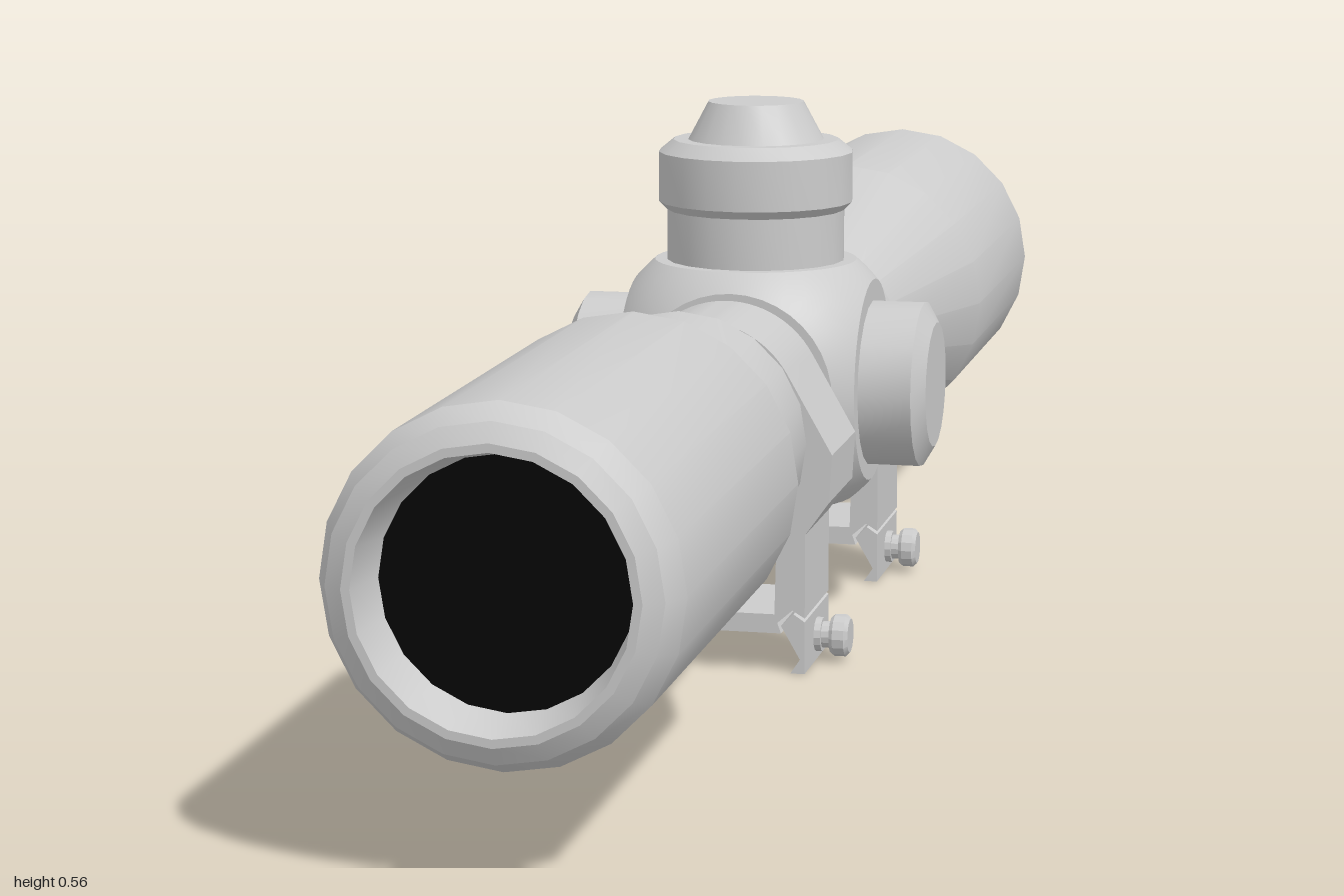
import * as THREE from 'three';
import { toCreasedNormals } from 'three/addons/utils/BufferGeometryUtils.js';

const AXIS_Y = 0.265; // height of the optical axis
const BODY_Z = -0.06; // centre of the turret body
const SIDES = 20;

const grey = new THREE.MeshStandardMaterial({ color: 0xcccccc, side: THREE.DoubleSide });
const black = new THREE.MeshStandardMaterial({ color: 0x050505 });

function mesh(name, geometry, material = grey) {
  const m = new THREE.Mesh(geometry, material);
  m.name = name;
  return m;
}

// Turned part from [radius, height] pairs, bottom to top
function turned(profile, sides = SIDES) {
  const pts = profile.map(([r, h]) => new THREE.Vector2(r, h));
  return toCreasedNormals(new THREE.LatheGeometry(pts, sides), 0.34);
}

// Turned part lying along z on the optical axis
function alongAxis(name, profile) {
  const m = mesh(name, turned(profile).rotateX(Math.PI / 2));
  m.position.y = AXIS_Y;
  return m;
}

function lens(name, radius, z, facing) {
  const geo = new THREE.CircleGeometry(radius, SIDES).rotateZ(Math.PI / 2);
  if (facing < 0) geo.rotateY(Math.PI);
  const m = mesh(name, geo, black);
  m.position.set(0, AXIS_Y, z);
  return m;
}

// Sphere cut flat on six sides: per side a disc and a spherical collar
function createTurretBody() {
  const group = new THREE.Group();
  group.name = 'turretBody';
  const half = 0.13, flat = 0.11, radius = Math.hypot(half, flat);
  const collar = new THREE.RingGeometry(flat, 2 * flat, 40, 5);
  const pos = collar.attributes.position, normal = collar.attributes.normal;
  const p = new THREE.Vector3();
  for (let i = 0; i < pos.count; i++) {
    p.fromBufferAttribute(pos, i);
    const t = p.length() / flat - 1;
    p.normalize();
    const square = half / Math.max(Math.abs(p.x), Math.abs(p.y));
    p.multiplyScalar(THREE.MathUtils.lerp(flat, square, t)).setZ(half).normalize();
    normal.setXYZ(i, p.x, p.y, p.z);
    pos.setXYZ(i, p.x * radius, p.y * radius, p.z * radius);
  }
  const disc = new THREE.CircleGeometry(flat, 40).translate(0, 0, half);
  for (let i = 0; i < 6; i++) {
    const side = new THREE.Group();
    side.name = 'bodySide';
    side.add(mesh('bodyCollar', collar), mesh('bodyFlat', disc));
    if (i < 4) side.rotation.y = i * Math.PI / 2;
    else side.rotation.x = (i === 4 ? 1 : -1) * Math.PI / 2;
    group.add(side);
  }
  group.position.set(0, AXIS_Y, BODY_Z);
  return group;
}

// Extrude an outline along z, centred on z = 0
function slab(shape, depth) {
  const geo = new THREE.ExtrudeGeometry(shape, { depth, bevelEnabled: false, curveSegments: 14 });
  return toCreasedNormals(geo.translate(0, 0, -depth / 2), 0.34);
}

const outline = pts => new THREE.Shape(pts.map(([x, y]) => new THREE.Vector2(x, y)));

function createMount(name, z) {
  const group = new THREE.Group();
  group.name = name;
  const depth = 0.13;

  // Ring, legs and crossbar in one outline
  const shape = outline([
    [-0.11, 0.003], [-0.093, 0.003], [-0.104, 0.018], [-0.08, 0.045], [0.085, 0.045],
    [0.081, 0.056], [0.097, 0.07], [0.11, 0.062], [0.11, 0.15], [0.135, 0.185], [0.138, 0.235],
  ]);
  shape.absarc(0, AXIS_Y, 0.105, Math.PI / 6, Math.PI * 5 / 6, false);
  [[-0.138, 0.235], [-0.135, 0.185], [-0.11, 0.15]].forEach(([x, y]) => shape.lineTo(x, y));

  // Window between the legs, and the bore for the tube
  const win = new THREE.Path();
  win.moveTo(-0.08, 0.065);
  win.lineTo(0.078, 0.065);
  win.lineTo(0.08, 0.14);
  win.absarc(0, AXIS_Y, 0.108, -Math.PI * 0.28, -Math.PI * 0.72, true);
  win.lineTo(-0.08, 0.14);
  const bore = new THREE.Path();
  bore.absarc(0, AXIS_Y, 0.088, 0, Math.PI * 2, true);
  shape.holes.push(win, bore);
  group.add(mesh('mountRing', slab(shape, depth)));

  // Loose clamp jaw with its screw
  const jaw = outline([
    [0.11, 0.003], [0.11, 0.058], [0.098, 0.066], [0.085, 0.053], [0.105, 0.018], [0.095, 0.003],
  ]);
  group.add(mesh('clampJaw', slab(jaw, depth)));
  const screw = mesh('clampScrew', turned([
    [0, 0.105], [0.018, 0.105], [0.018, 0.117], [0.014, 0.117], [0.014, 0.126],
    [0.019, 0.126], [0.022, 0.13], [0.022, 0.142], [0.018, 0.146], [0, 0.146],
  ], 14).rotateZ(-Math.PI / 2));
  screw.position.y = 0.03;
  group.add(screw);

  group.position.z = z;
  return group;
}

export function createModel() {
  const model = new THREE.Group();
  model.name = 'telescopicSight';

  // Tube sections
  model.add(
    alongAxis('objectiveBell', [
      [0.12, -0.95], [0.145, -1], [0.166, -1], [0.166, -0.6], [0.095, -0.4], [0.09, -0.35],
    ]),
    alongAxis('mainTube', [[0.09, -0.36], [0.09, 0.26]]),
    alongAxis('eyepiece', [
      [0.09, 0.245], [0.105, 0.28], [0.12, 0.285], [0.13, 0.31], [0.132, 0.43], [0.14, 0.43],
      [0.16, 0.5], [0.16, 0.965], [0.147, 0.99], [0.13, 1], [0.122, 1], [0.112, 0.95],
    ]),
    lens('objectiveLens', 0.121, -0.951, -1),
    lens('eyepieceLens', 0.113, 0.951, 1),
  );

  // Turret body, top turret and side knobs
  model.add(createTurretBody());
  const turret = mesh('topTurret', turned([
    [0.097, 0.38], [0.097, 0.45], [0.1, 0.453], [0.106, 0.459], [0.106, 0.513], [0.09, 0.526],
    [0.074, 0.526], [0.052, 0.567], [0, 0.567],
  ]));
  turret.position.z = BODY_Z;
  model.add(turret);
  const knobGeo = turned([[0.09, 0.12], [0.09, 0.187], [0.068, 0.2], [0, 0.2]]);
  for (const side of [1, -1]) {
    const knob = mesh(side > 0 ? 'leftKnob' : 'rightKnob', knobGeo);
    knob.rotation.z = -side * Math.PI / 2;
    knob.position.set(0, 0.262, BODY_Z);
    model.add(knob);
  }

  // Mounts
  model.add(createMount('frontMount', 0.15), createMount('rearMount', -0.273));
  return model;
}
